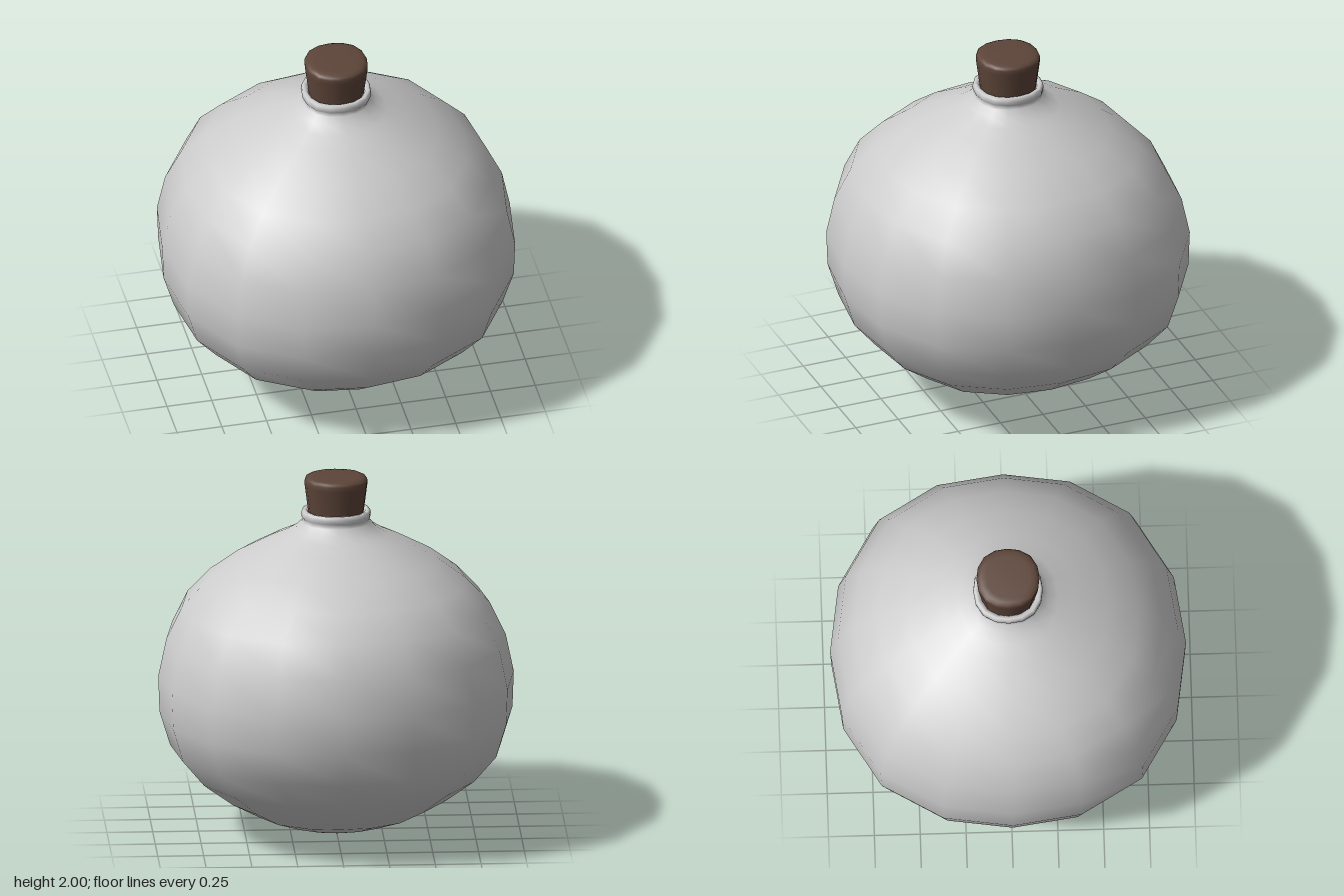
import * as THREE from 'three';
import { mergeVertices } from 'three/addons/utils/BufferGeometryUtils.js';

const SIDES = 16;

// Smooth lathe whose round section is swollen slightly toward the diagonals
function turned(name, profile, color) {
  const geo = new THREE.LatheGeometry(profile.map(([r, y]) => new THREE.Vector2(r, y)), SIDES);
  const pos = geo.attributes.position;
  for (let i = 0; i < pos.count; i++) {
    const x = pos.getX(i), z = pos.getZ(i);
    const s = 1 + 0.042 * Math.sin(2 * Math.atan2(z, x)) ** 2;
    pos.setX(i, x * s);
    pos.setZ(i, z * s);
  }
  // weld the seam so the shading is continuous
  geo.deleteAttribute('uv');
  geo.deleteAttribute('normal');
  const welded = mergeVertices(geo, 1e-4);
  welded.computeVertexNormals();
  const mesh = new THREE.Mesh(welded, new THREE.MeshStandardMaterial({ color }));
  mesh.name = name;
  return mesh;
}

export function createModel() {
  const group = new THREE.Group();
  group.name = 'roundFlask';

  // Bulbous body, flared neck, rolled lip and the inside of the mouth
  group.add(turned('flaskBody', [
    [0, 0], [0.14, 0.015], [0.28, 0.055], [0.45, 0.12], [0.61, 0.21], [0.78, 0.34],
    [0.905, 0.49], [0.963, 0.68], [0.97, 0.88], [0.926, 1.09], [0.84, 1.27],
    [0.71, 1.41], [0.55, 1.53], [0.37, 1.63], [0.275, 1.675], [0.22, 1.71],
    [0.188, 1.745], [0.18, 1.76], [0.188, 1.772], [0.19, 1.79], [0.187, 1.805],
    [0.178, 1.812], [0.162, 1.81], [0.152, 1.795], [0.148, 1.74],
  ], 0xcccccc));

  // Tapered stopper with softened edges, seated in the mouth
  group.add(turned('stopper', [
    [0, 1.74], [0.135, 1.74], [0.145, 1.75], [0.153, 1.81], [0.171, 1.95],
    [0.172, 1.975], [0.166, 1.988], [0.15, 1.996], [0.12, 2], [0, 2],
  ], 0x5d4539));

  return group;
}
